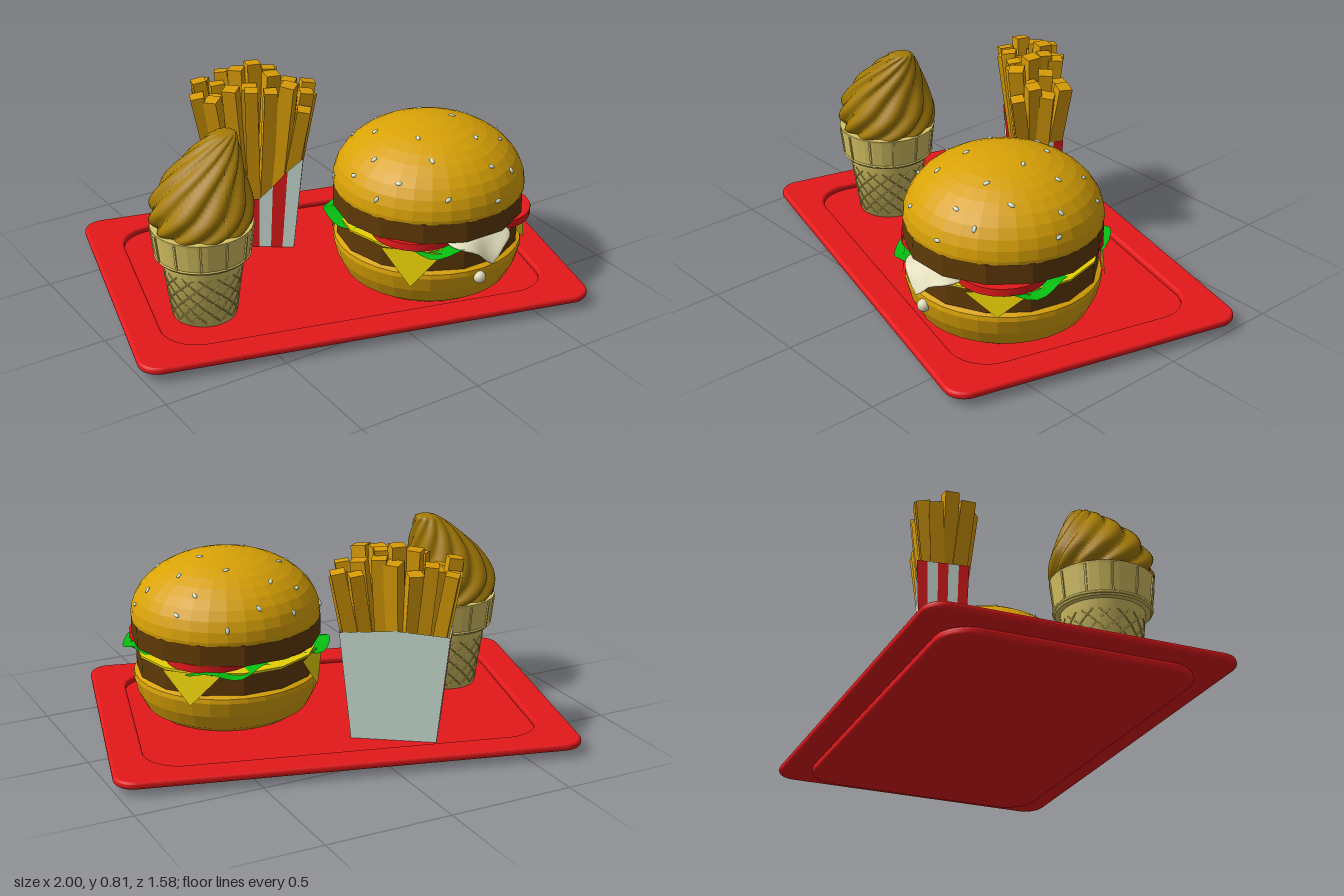
import * as THREE from 'three';

const mat = (name, color, double) => {
  const m = new THREE.MeshStandardMaterial({ color });
  m.name = name;
  if (double) m.side = THREE.DoubleSide;
  return m;
};
const M = {
  red: mat('red', 0xe4191b, true),
  white: mat('boxWhite', 0xd2e8dc, true),
  bun: mat('bun', 0xd9a206),
  ice: mat('caramelIce', 0xa57c06),
  wafer: mat('wafer', 0xd6c263),
  fry: mat('fry', 0xd99c06),
  patty: mat('patty', 0x603a06),
  green: mat('lettuceGreen', 0x06be10, true),
  cheese: mat('cheeseYellow', 0xe8d004, true),
  cream: mat('cream', 0xdeDAb8),
};
M.bun.flatShading = M.patty.flatShading = true;

let seed = 7;
const rand = () => (seed = (seed * 16807) % 2147483647) / 2147483647;

function add(parent, name, geo, material, x = 0, y = 0, z = 0) {
  const m = new THREE.Mesh(geo, material);
  m.name = name;
  m.position.set(x, y, z);
  parent.add(m);
  return m;
}
function group(parent, name, x, z, ry = 0) {
  const g = new THREE.Group();
  g.name = name;
  g.position.set(x, 0, z);
  g.rotation.y = ry;
  parent.add(g);
  return g;
}
function lathe(points, seg) {
  return new THREE.LatheGeometry(points.map(p => new THREE.Vector2(p[0], p[1])), seg);
}
// Surface from a point rule f(u, v), u and v in 0..1
function sheet(f, nu, nv) {
  const pos = [], idx = [];
  for (let j = 0; j <= nv; j++) for (let i = 0; i <= nu; i++) pos.push(...f(i / nu, j / nv));
  for (let j = 0; j < nv; j++) for (let i = 0; i < nu; i++) {
    const a = j * (nu + 1) + i, b = a + nu + 1;
    idx.push(a, a + 1, b, a + 1, b + 1, b);
  }
  const g = new THREE.BufferGeometry();
  g.setAttribute('position', new THREE.Float32BufferAttribute(pos, 3));
  g.setIndex(idx);
  g.computeVertexNormals();
  return g;
}
function roundRect(S, a, b, r) {
  const s = new S();
  s.absarc(a - r, b - r, r, 0, Math.PI / 2);
  s.absarc(r - a, b - r, r, Math.PI / 2, Math.PI);
  s.absarc(r - a, r - b, r, Math.PI, Math.PI * 1.5);
  s.absarc(a - r, r - b, r, Math.PI * 1.5, Math.PI * 2);
  s.closePath();
  return s;
}

function tray(root) {
  const g = group(root, 'tray', 0, 0, -0.258);
  const slab = (shape, h, bevel) => new THREE.ExtrudeGeometry(shape, {
    depth: h - 2 * bevel, bevelEnabled: true, bevelSize: bevel, bevelThickness: bevel, bevelSegments: 4, curveSegments: 10,
  }).rotateX(-Math.PI / 2);
  const rim = roundRect(THREE.Shape, 0.883, 0.588, 0.07);
  rim.holes.push(roundRect(THREE.Path, 0.777, 0.492, 0.16));
  add(g, 'trayRim', slab(rim, 0.03, 0.012), M.red, 0, 0.042, 0);
  add(g, 'trayFloor', slab(roundRect(THREE.Shape, 0.79, 0.485, 0.12), 0.034, 0.012), M.red, 0, 0.012, 0);
}

function burger(root) {
  const g = group(root, 'burger', 0.323, 0.23);
  add(g, 'bottomBun', lathe([[0, 0.033], [0.29, 0.033], [0.33, 0.06], [0.36, 0.12], [0.375, 0.18], [0.372, 0.198], [0.35, 0.207], [0, 0.207]], 32), M.bun);
  const dome = [[0, 0.415], [0.376, 0.415]];
  for (let i = 0; i <= 10; i++) {
    const a = i / 10 * Math.PI / 2;
    dome.push([0.378 * Math.cos(a), 0.43 + 0.25 * Math.sin(a)]);
  }
  add(g, 'topBun', lathe(dome, 32), M.bun);
  [[0.362, 0.25], [0.378, 0.375]].forEach(([r, y]) => {
    add(g, 'patty', new THREE.CylinderGeometry(r, r, 0.084, 14), M.patty, 0, y, 0).rotation.y = Math.PI / 14;
  });
  // cheese slice with four folded corners
  add(g, 'cheeseSlice', new THREE.CylinderGeometry(0.366, 0.366, 0.008, 14), M.cheese, 0, 0.296, 0).rotation.y = Math.PI / 14;
  [0.15, 0.205, 0.17, 0.16].forEach((tip, i) => {
    const f = (u, v) => [(u - 0.5) * 0.24 * (1 - v), 0.298 + (tip - 0.298) * v, 0.366 + 0.02 * v];
    add(g, 'cheeseCorner', sheet(f, 4, 4), M.cheese).rotation.y = -Math.PI / 4 + i * Math.PI / 2;
  });
  // squarish ruffled leaf
  add(g, 'lettuce', sheet((u, v) => {
    const a = u * Math.PI * 2, r = v * (0.367 + 0.05 * Math.cos(4 * (a - 0.48)));
    return [r * Math.cos(a), 0.302 + 0.014 * v ** 4 * Math.sin(a * 11), r * Math.sin(a)];
  }, 72, 5), M.green);
  [[0.17, 0.16], [-0.16, 0.145], [0.135, -0.155], [-0.12, -0.12]].forEach(([x, z]) =>
    add(g, 'tomatoSlice', new THREE.CylinderGeometry(0.172, 0.172, 0.03, 28), M.red, x, 0.321, z));
  // sauce melting over the front edge
  const sauce = new THREE.SphereGeometry(1, 28, 18), p = sauce.attributes.position;
  for (let i = 0; i < p.count; i++) {
    const x = p.getX(i), z = p.getZ(i);
    const drop = Math.max(0, z - 0.3) * (0.02 + 0.09 * Math.exp(-((x / 0.35) ** 2)));
    p.setXYZ(i, x * 0.135, p.getY(i) * 0.02 - drop, z * 0.09);
  }
  sauce.computeVertexNormals();
  add(g, 'sauce', sauce, M.cream, 0, 0.316, 0.335);
  add(g, 'sauceDrop', new THREE.SphereGeometry(0.025, 14, 10), M.cream, -0.02, 0.165, 0.375);
  // sesame seeds spread over the dome
  for (let i = 0; i < 26; i++) {
    const h = 0.96 - 0.84 * (i / 25), c = Math.sqrt(1 - h * h), a = i * 2.4 + rand() * 0.4;
    const s = add(g, 'sesameSeed', new THREE.SphereGeometry(1, 8, 6), M.white, 0.378 * c * Math.cos(a), 0.43 + 0.25 * h, 0.378 * c * Math.sin(a));
    const n = new THREE.Vector3(c * Math.cos(a) / 0.378, h / 0.25, c * Math.sin(a) / 0.378).normalize();
    s.quaternion.setFromUnitVectors(new THREE.Vector3(0, 1, 0), n);
    s.rotateY(rand() * 6);
    s.scale.set(0.014, 0.006, 0.008);
  }
}

function fries(root) {
  const g = group(root, 'friesPortion', -0.14, -0.34, -0.61);
  // tapered carton: each panel is a row of stripes with a cut top edge
  const corner = (sx, sz, y) => {
    const t = (y - 0.033) / 0.437;
    return [sx * (0.165 + 0.045 * t), y, sz * (0.08 + 0.017 * t)];
  };
  const panel = (name, A, B, tops, colours) => {
    const n = tops.length - 1;
    const at = (u, y) => {
      const a = corner(...A, y), b = corner(...B, y);
      return a.map((k, i) => k + (b[i] - k) * u);
    };
    for (let i = 0; i < n; i++) {
      const f = (u, v) => at((i + u) / n, 0.033 + (tops[i] + (tops[i + 1] - tops[i]) * u - 0.033) * v);
      add(g, name, sheet(f, 1, 1), colours[i % colours.length]);
    }
  };
  panel('cartonFront', [-1, 1], [1, 1], [0.45, 0.39, 0.32, 0.26, 0.26, 0.32, 0.39, 0.45], [M.white, M.red]);
  panel('cartonRightSide', [-1, -1], [-1, 1], [0.47, 0.466, 0.462, 0.458, 0.454, 0.45], [M.red, M.white]);
  panel('cartonLeftSide', [1, 1], [1, -1], [0.45, 0.454, 0.458, 0.462, 0.466, 0.47], [M.red, M.white]);
  panel('cartonBack', [1, -1], [-1, -1], [0.47, 0.487, 0.47], [M.white]);
  add(g, 'cartonBase', new THREE.BoxGeometry(0.33, 0.008, 0.16), M.white, 0, 0.037, 0);
  // splayed fries, kept inside the carton below its lip
  const up = new THREE.Vector3(0, 1, 0);
  for (let i = 0; i < 7; i++) for (let j = 0; j < 4; j++) {
    const x = (i / 3 - 1) * 0.215 + (rand() - 0.5) * 0.02, z = (j / 1.5 - 1) * 0.085 + (rand() - 0.5) * 0.02;
    const top = new THREE.Vector3(x, 0.66 + rand() * 0.1 + 0.055 * (1 - Math.abs(i - 3) / 3), z);
    const low = new THREE.Vector3(x * 0.55, 0.15, z * 0.25), d = top.clone().sub(low);
    const w = 0.05 + rand() * 0.01;
    const m = add(g, 'fry', new THREE.BoxGeometry(w, d.length(), w), M.fry);
    m.position.copy(low).addScaledVector(d, 0.5);
    m.quaternion.setFromUnitVectors(up, d.normalize());
    m.rotateY((rand() - 0.5) * 0.9);
  }
}

function iceCream(root) {
  const g = group(root, 'iceCream', -0.6, 0.06);
  const cup = lathe([[0, 0.033], [0.123, 0.033], [0.158, 0.288]], 32);
  add(g, 'waferCup', cup, M.wafer);
  const collar = [[0.15, 0.285], [0.177, 0.288], [0.182, 0.3], [0.195, 0.41], [0.197, 0.42], [0.17, 0.42]];
  add(g, 'waferCollar', lathe(collar, 32).toNonIndexed(), M.wafer).geometry.computeVertexNormals();
  add(g, 'collarRing', new THREE.TorusGeometry(0.182, 0.005, 6, 40).rotateX(Math.PI / 2), M.wafer, 0, 0.3, 0);
  for (let i = 0; i < 12; i++) {
    const rib = add(g, 'collarRib', new THREE.BoxGeometry(0.008, 0.11, 0.008), M.wafer);
    rib.rotation.set(0.118, i * Math.PI / 6, 0, 'YXZ');
    rib.position.set(0.189 * Math.sin(i * Math.PI / 6), 0.357, 0.189 * Math.cos(i * Math.PI / 6));
  }
  // raised waffle lattice
  for (const dir of [-1, 1]) for (let i = 0; i < 14; i++) {
    const pts = [];
    for (let k = 0; k <= 8; k++) {
      const t = k / 8, a = i / 14 * Math.PI * 2 + dir * t * 1.5, r = 0.126 + 0.027 * t;
      pts.push(new THREE.Vector3(r * Math.sin(a), 0.05 + 0.2 * t, r * Math.cos(a)));
    }
    add(g, 'waffleLine', new THREE.TubeGeometry(new THREE.CatmullRomCurve3(pts), 12, 0.003, 4), M.wafer);
  }
  // twisted swirl leaning to a blunt tip: y, radius, x shift
  const curve = new THREE.CatmullRomCurve3([[0.41, 0.185, 0], [0.45, 0.2, 0], [0.51, 0.197, 0.003], [0.6, 0.156, 0.02],
    [0.68, 0.108, 0.058], [0.735, 0.068, 0.09], [0.762, 0.042, 0.11], [0.768, 0, 0.125]].map(p => new THREE.Vector3(...p)));
  add(g, 'swirl', sheet((u, v) => {
    const c = curve.getPoint(v), a = u * Math.PI * 2;
    const r = c.y * (0.86 + 0.14 * Math.abs(Math.sin(5 * (a - 2.2 * v - 0.8 * v ** 3))));
    return [c.z + r * Math.sin(a), c.x, r * Math.cos(a)];
  }, 140, 40), M.ice);
}

export function createModel() {
  const root = new THREE.Group();
  root.name = 'mealTray';
  tray(root);
  burger(root);
  fries(root);
  iceCream(root);
  return root;
}
